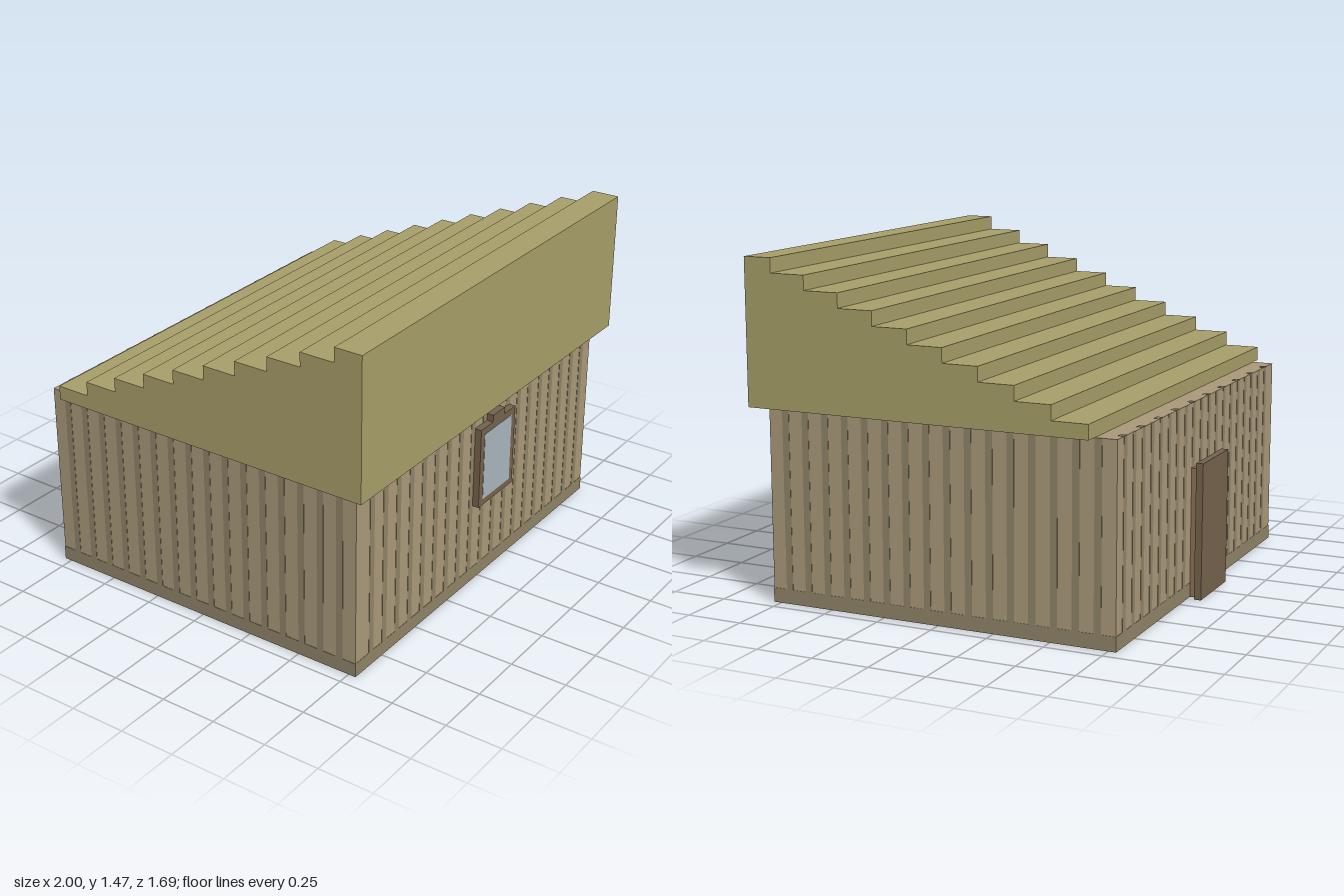
import * as THREE from 'three';

const T = 0.0313; // plank module
const paint = (color) => new THREE.MeshStandardMaterial({ color, flatShading: true });
const WALL = paint(0xa89878), GROOVE = paint(0x8f8367), ROOF = paint(0xa69d68);
const TRIM = paint(0x75624c), DOOR = paint(0x8b7058), GLASS = paint(0xa8b4bc);

// Box given by its lower and upper corners
function box(parent, name, material, [x0, y0, z0], [x1, y1, z1]) {
  const mesh = new THREE.Mesh(new THREE.BoxGeometry(x1 - x0, y1 - y0, z1 - z0), material);
  mesh.position.set((x0 + x1) / 2, (y0 + y1) / 2, (z0 + z1) / 2);
  mesh.name = name;
  parent.add(mesh);
  return mesh;
}

export function createModel() {
  const model = new THREE.Group();
  model.name = 'hut';
  const W = 30 * T, D = 25 * T, H = 27 * T, base = 2 * T, e = 0.0015;

  // Walls with a dark band around the foot
  box(model, 'walls', WALL, [-W, 0, -D], [W, H, D]);
  box(model, 'footBand', GROOVE, [-W - e, 0, -D - e], [W + e, base, D + e]);

  // Plank grooves: front and back, then both sides
  const grooves = new THREE.Group();
  grooves.name = 'plankGrooves';
  model.add(grooves);
  for (let i = 3; i < 60; i += 3) {
    const x = -W + i * T;
    box(grooves, 'frontGroove', GROOVE, [x, base, D - 0.01], [x + T, H, D + e]);
    box(grooves, 'backGroove', GROOVE, [x, base, -D - e], [x + T, H, -D + 0.01]);
    if (i % 6 === 3) box(grooves, 'ledgeNotch', GROOVE, [x, H - 0.01, -D], [x + T, H + e, -D + T * 0.8]);
  }
  for (let i = 2; i < 50; i += 3) {
    const z = D - i * T;
    for (const s of [-1, 1]) {
      const xs = [s * (W - 0.01), s * (W + e)].sort((a, b) => a - b);
      box(grooves, 'sideGroove', GROOVE, [xs[0], base, z - T], [xs[1], H, z]);
    }
  }

  // Stepped roof: staircase profile extruded across the width
  const steps = 10, rise = 2 * T, run = 5 * T, back = -22 * T, front = 27 * T;
  const profile = new THREE.Shape();
  profile.moveTo(-front, H);
  profile.lineTo(-back, H);
  for (let i = 0; i < steps; i++) {
    const y = H + (i + 1) * rise;
    profile.lineTo(-back - i * run, y);
    profile.lineTo(i === steps - 1 ? -front : -back - (i + 1) * run, y);
  }
  const roofGeometry = new THREE.ExtrudeGeometry(profile, { depth: 2, bevelEnabled: false });
  roofGeometry.translate(0, 0, -1).rotateY(Math.PI / 2);
  const roof = new THREE.Mesh(roofGeometry, ROOF);
  roof.name = 'steppedRoof';
  model.add(roof);

  // Window on the front
  const windowGroup = new THREE.Group();
  windowGroup.name = 'window';
  model.add(windowGroup);
  box(windowGroup, 'windowFrame', TRIM, [-0.064, 0.378, D], [0.216, 0.751, D + T]);
  box(windowGroup, 'windowTab', TRIM, [0.031, 0.751, D], [0.125, 0.783, D + T]);
  box(windowGroup, 'windowPane', GLASS, [-0.034, 0.407, D], [0.186, 0.721, D + T + e]);

  // Door on the back
  const door = new THREE.Group();
  door.name = 'door';
  model.add(door);
  box(door, 'doorFrame', DOOR, [-4 * T, 0, -D - T], [4 * T, 18 * T, -D]);
  box(door, 'doorLeaf', TRIM, [-5 * T, 0, -D - 2 * T], [5 * T, 19 * T, -D - T]);

  return model;
}
